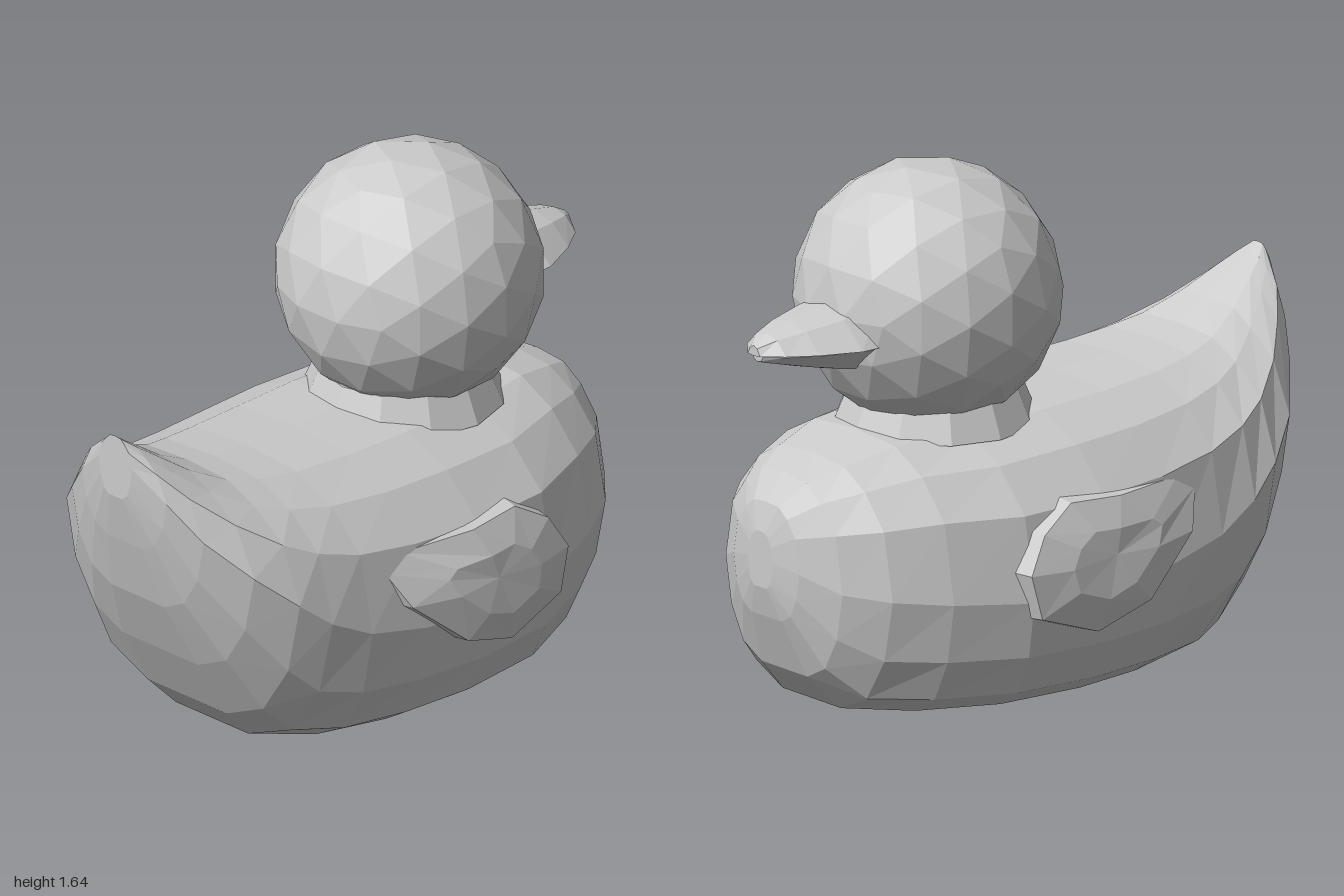
import * as THREE from 'three';

const material = new THREE.MeshStandardMaterial({ color: 0xcccccc, flatShading: true });

function addMesh(group, name, geometry) {
  const mesh = new THREE.Mesh(geometry, material);
  mesh.name = name;
  group.add(mesh);
  return mesh;
}

// Skins a list of closed rings and closes both ends with a fan
function loft(rings) {
  const n = rings[0].length;
  const positions = rings.flat(2);
  const index = [];
  for (let i = 0; i < rings.length - 1; i++) {
    for (let j = 0; j < n; j++) {
      const a = i * n + j, b = i * n + (j + 1) % n;
      index.push(a, b, a + n, b, b + n, a + n);
    }
  }
  for (const [ring, start, flip] of [[rings[0], 0, true], [rings.at(-1), (rings.length - 1) * n, false]]) {
    const centre = positions.length / 3;
    for (let k = 0; k < 3; k++) positions.push(ring.reduce((s, p) => s + p[k], 0) / n);
    for (let j = 0; j < n; j++) {
      const a = start + j, b = start + (j + 1) % n;
      index.push(centre, flip ? b : a, flip ? a : b);
    }
  }
  const geometry = new THREE.BufferGeometry();
  geometry.setAttribute('position', new THREE.Float32BufferAttribute(positions, 3));
  geometry.setIndex(index);
  geometry.computeVertexNormals();
  return geometry;
}

// Completes a half ring of [z, y] (top to bottom) with its mirror image
function mirrorRing(x, half) {
  const other = half.slice(1, -1).reverse().map(([z, y]) => [-z, y]);
  return [...half, ...other].map(([z, y]) => [x, y, z]);
}

// Body stations: x, bottom, top, half width, height of widest point, shoulder fullness, bottom fullness
const BODY = [
  [-1, 0.93, 1.14, 0.07, 1.05, 0.75, 0.4],
  [-0.96, 0.76, 1.11, 0.18, 0.95, 0.7, 0.4],
  [-0.9, 0.55, 1.07, 0.28, 0.83, 0.7, 0.4],
  [-0.8, 0.33, 1.0, 0.4, 0.71, 0.75, 0.4],
  [-0.68, 0.12, 0.94, 0.48, 0.6, 0.85, 0.35],
  [-0.57, 0.005, 0.915, 0.515, 0.51, 0.92, 0.3],
  [-0.42, 0, 0.895, 0.54, 0.43, 0.97, 0.56],
  [-0.2, 0, 0.88, 0.565, 0.38, 1, 0.68],
  [0.05, 0, 0.87, 0.585, 0.36, 1, 0.72],
  [0.35, 0, 0.85, 0.57, 0.36, 1, 0.71],
  [0.6, 0, 0.84, 0.485, 0.38, 0.97, 0.61],
  [0.77, 0.005, 0.795, 0.395, 0.4, 0.94, 0.36],
  [0.88, 0.12, 0.75, 0.285, 0.42, 0.92, 0.4],
  [0.95, 0.3, 0.67, 0.16, 0.47, 0.9, 0.45],
  [0.975, 0.4, 0.58, 0.06, 0.49, 0.9, 0.5],
];

function bodyRing([x, bottom, top, w, mid, s, b]) {
  const up = t => mid + (top - mid) * t;
  const down = t => mid - (mid - bottom) * t;
  return mirrorRing(x, [
    [0, top], [0.42 * w * s, up(0.97)], [0.7 * w * s, up(0.82)], [0.92 * w * (1 + s) / 2, up(0.55)],
    [w, mid], [(0.84 + 0.16 * b) * w, down(0.5)], [(0.5 + b / 2) * w, down(0.85)], [b * w, bottom], [0, bottom],
  ]);
}

// Wing outline in x and y, anticlockwise seen from +z
const WING = [
  [0.2, 0.66], [0, 0.65], [-0.28, 0.65], [-0.35, 0.6], [-0.29, 0.48],
  [-0.08, 0.3], [0.13, 0.23], [0.36, 0.31], [0.4, 0.46], [0.33, 0.58],
];

function wing(side) {
  const bulge = (x, y) => 0.645 - 0.09 * ((x - 0.1) / 0.45) ** 2 - 1.3 * (y - 0.4) ** 2;
  const outline = side > 0 ? WING : [...WING].reverse();
  const ring = (scale, depth) => outline.map(([px, py]) => {
    const x = 0.08 + (px - 0.08) * scale, y = 0.46 + (py - 0.46) * scale;
    return [x, y, side * (depth ?? bulge(x, y))];
  });
  return loft([ring(1.04, 0.46), ring(0.96), ring(0.5)]);
}

// Bill half: stations are x, outer height, half width, height of the mouth line
function bill(stations) {
  return loft(stations.map(([x, y, w, mouth]) => {
    const half = [[0, y], [0.55 * w, y + (mouth - y) * 0.22], [w, mouth], [0, mouth - (y - mouth) * 0.1]];
    return mirrorRing(x, y > mouth ? half : half.reverse());
  }));
}

export function createModel() {
  const duck = new THREE.Group();
  duck.name = 'duck';

  addMesh(duck, 'body', loft(BODY.map(bodyRing)));

  // Short flared neck under the head
  const neck = addMesh(duck, 'neck', new THREE.CylinderGeometry(0.27, 0.32, 0.12, 12));
  neck.position.set(0.28, 0.875, 0);

  const head = addMesh(duck, 'head', new THREE.IcosahedronGeometry(0.421, 2));
  head.position.set(0.31, 1.227, 0);

  // Two bill halves meeting at the mouth line
  const beak = new THREE.Group();
  beak.name = 'beak';
  duck.add(beak);
  addMesh(beak, 'upperBill', bill([
    [0.6, 1.28, 0.2, 1.155], [0.73, 1.26, 0.2, 1.155], [0.86, 1.235, 0.15, 1.155],
    [0.95, 1.21, 0.095, 1.155], [1, 1.18, 0.03, 1.15],
  ]));
  addMesh(beak, 'lowerBill', bill([
    [0.6, 1.04, 0.18, 1.15], [0.7, 1.05, 0.19, 1.15], [0.84, 1.085, 0.145, 1.15],
    [0.95, 1.115, 0.085, 1.15], [0.985, 1.125, 0.03, 1.15],
  ]));

  addMesh(duck, 'frontSideWing', wing(1));
  addMesh(duck, 'backSideWing', wing(-1));
  return duck;
}
